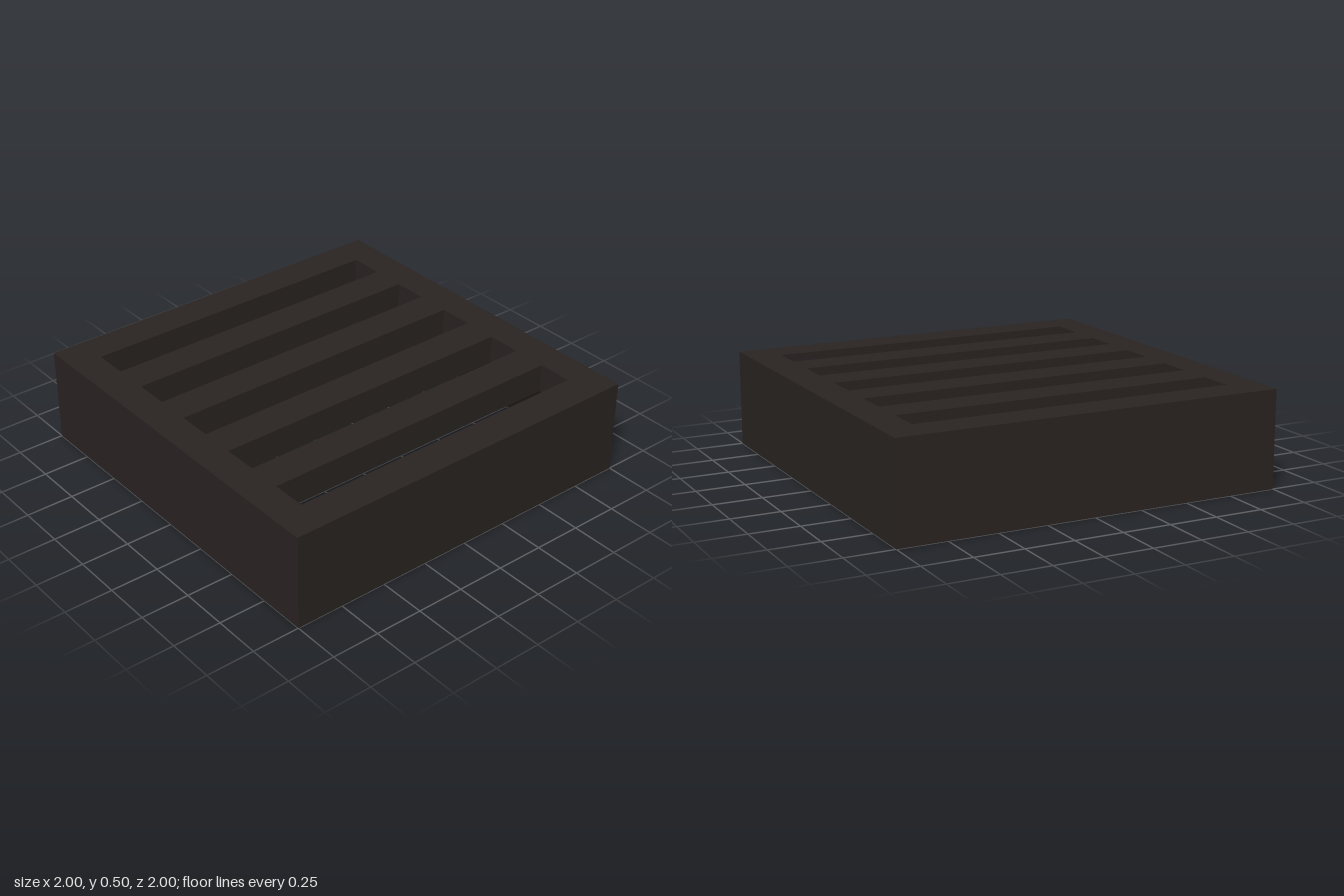
import * as THREE from 'three';
import { ConvexGeometry } from 'three/addons/geometries/ConvexGeometry.js';

const TOP = 0.5, BAR = 0.35;        // top of grate, underside of bars
const SLOT = 2 / 11, END = 0.835;   // slot width, slot half length
const INNER = 4.5 * SLOT, BEND = 3.5 * SLOT; // outer and inner edge of the outermost slots

export function createModel() {
  const group = new THREE.Group();
  const material = new THREE.MeshStandardMaterial({ color: 0x2a2422, flatShading: true });

  const add = (name, geometry) => {
    const mesh = new THREE.Mesh(geometry, material);
    mesh.name = name;
    group.add(mesh);
    return mesh;
  };
  const hull = (points, sx = 1, sz = 1) =>
    new ConvexGeometry(points.map(([x, y, z]) => new THREE.Vector3(x * sx, y, z * sz)));

  // Slotted top plate
  const rectangle = (T, x, w, h) => new T([
    new THREE.Vector2(x - w, -h), new THREE.Vector2(x + w, -h),
    new THREE.Vector2(x + w, h), new THREE.Vector2(x - w, h),
  ]);
  const plate = rectangle(THREE.Shape, 0, 1, 1);
  for (let i = -2; i <= 2; i++) {
    plate.holes.push(rectangle(THREE.Path, i * 2 * SLOT, SLOT / 2, END));
  }
  const plateGeometry = new THREE.ExtrudeGeometry(plate, { depth: TOP - BAR, bevelEnabled: false });
  plateGeometry.rotateX(-Math.PI / 2).translate(0, BAR, 0);
  add('slottedTop', plateGeometry);

  for (const s of [1, -1]) {
    // Full-depth side wall
    const wall = new THREE.BoxGeometry(1 - INNER, BAR, 2);
    wall.translate(s * (1 + INNER) / 2, BAR / 2, 0);
    add(s > 0 ? 'leftWall' : 'rightWall', wall);

    // End wall, sloping inward from the bottom edge to the bars
    const wedge = [];
    for (const x of [-BEND, BEND]) wedge.push([x, 0, 1], [x, BAR, 1], [x, BAR, END]);
    add(s > 0 ? 'frontWall' : 'backWall', hull(wedge, 1, s));

    // Corner fillers below the ends of the outer slots
    for (const sx of [1, -1]) {
      add('cornerFiller', hull([
        [INNER, 0, END], [INNER, 0, 1], [BEND, 0, 1],
        [INNER, BAR, END], [INNER, BAR, 1], [BEND, BAR, 1], [BEND, BAR, END],
      ], sx, s));
    }
  }
  return group;
}
